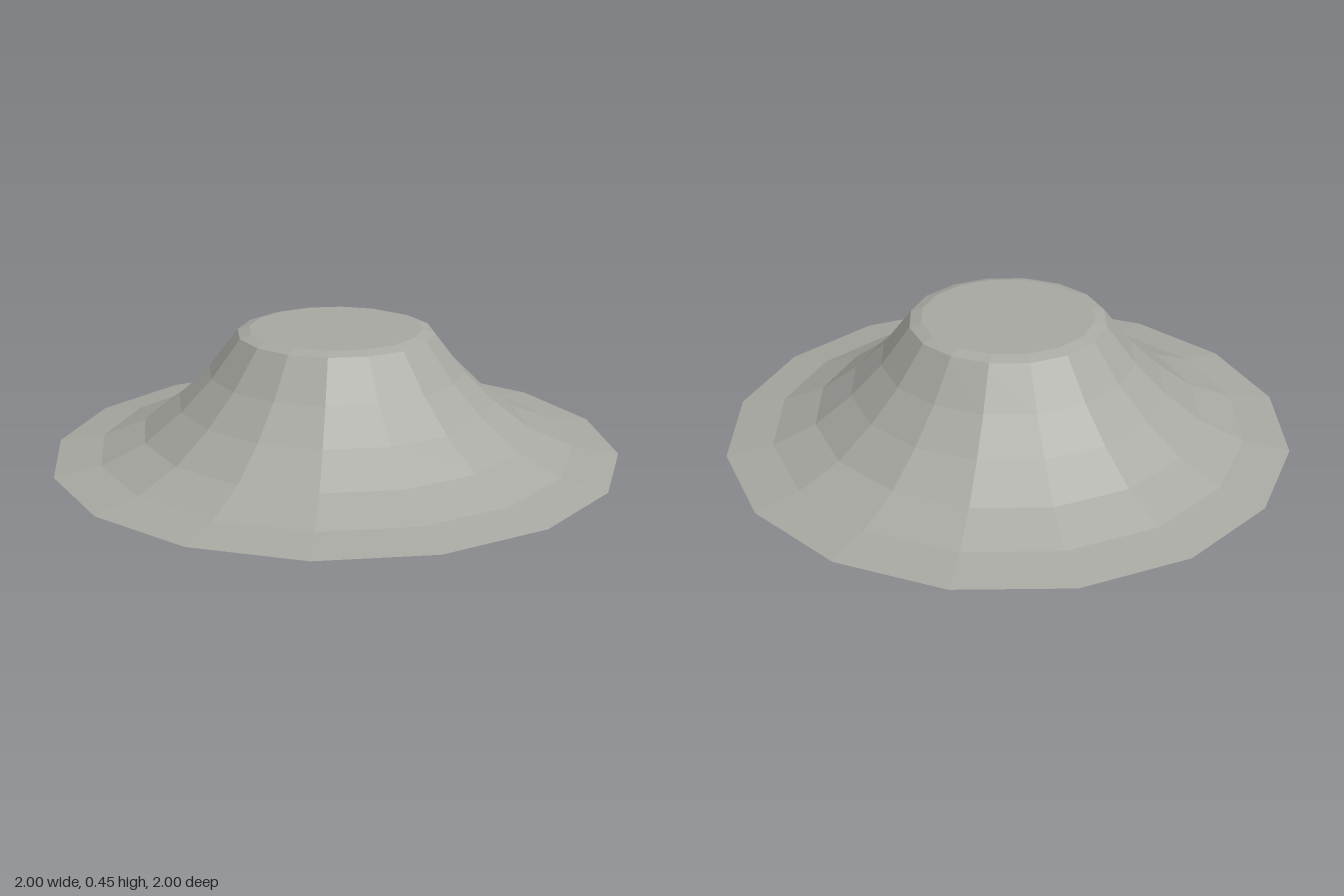
import * as THREE from 'three';

const SIDES = 16;
const HALF_STEP = Math.PI / SIDES;

// [distance to the middle of a flat side, height], from the rim up
const PROFILE = [
  [1.0, 0], [0.838, 0.025], [0.686, 0.09], [0.557, 0.19],
  [0.448, 0.3], [0.345, 0.437], [0.303, 0.45],
];
const toCorner = (flat) => flat / Math.cos(HALF_STEP);

// Split shared corners so every facet is flat
function faceted(geometry) {
  const flat = geometry.toNonIndexed();
  flat.computeVertexNormals();
  return flat;
}

export function createModel() {
  const group = new THREE.Group();
  group.name = 'mound';
  const stone = new THREE.MeshStandardMaterial({ color: 0xa8a9a2 });
  stone.name = 'grey stone';

  function add(name, geometry) {
    const mesh = new THREE.Mesh(faceted(geometry), stone);
    mesh.name = name;
    group.add(mesh);
    return mesh;
  }

  // Flared, concave slope with a small bevel at the top
  const points = PROFILE.map(([r, y]) => new THREE.Vector2(toCorner(r), y));
  add('slope', new THREE.LatheGeometry(points, SIDES, HALF_STEP));

  // Level plateau
  const [topRadius, topHeight] = PROFILE[PROFILE.length - 1];
  const plateau = new THREE.CircleGeometry(toCorner(topRadius), SIDES, HALF_STEP);
  add('plateau', plateau.rotateX(-Math.PI / 2).translate(0, topHeight, 0));

  // Closed underside
  const base = new THREE.CircleGeometry(toCorner(PROFILE[0][0]), SIDES, HALF_STEP);
  add('underside', base.rotateX(Math.PI / 2));

  return group;
}
